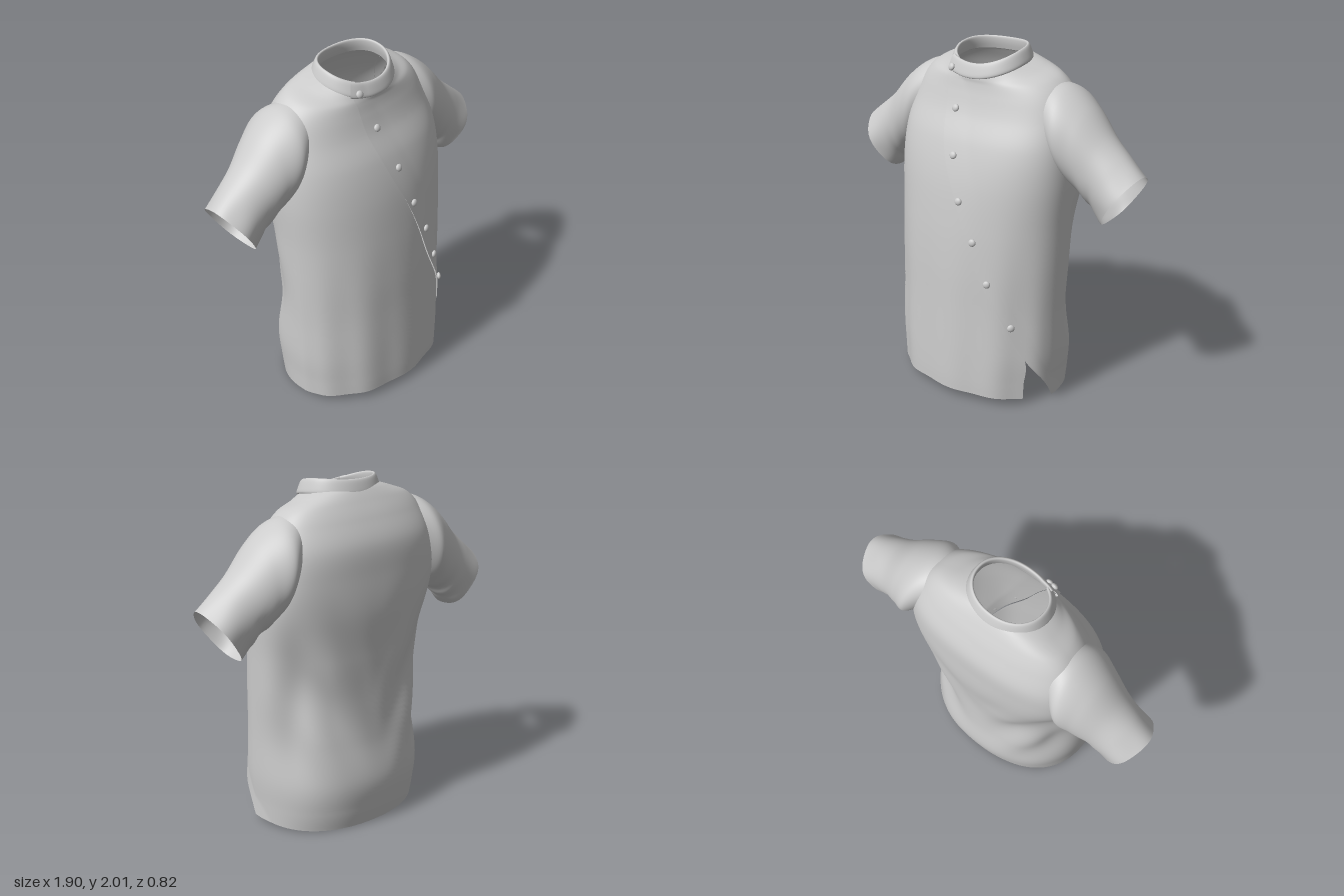
import * as THREE from 'three';

const material = new THREE.MeshStandardMaterial({ color: 0xcccccc, side: THREE.DoubleSide });
const spow = (v, e) => Math.sign(v) * Math.abs(v) ** e;
const bump = (v, mid, half) => Math.exp(-(((v - mid) / half) ** 2));

// Smooth (Catmull-Rom) interpolation through a list of rows, t in 0..1
function sampleRows(rows, t) {
  const last = rows.length - 1;
  const i = Math.min(Math.floor(t * last), last - 1);
  const f = t * last - i;
  const at = k => rows[Math.max(0, Math.min(last, k))];
  return rows[i].map((b, c) => {
    const a = at(i - 1)[c], d = at(i + 1)[c], e = at(i + 2)[c];
    return b + 0.5 * f * (d - a + f * (2 * a - 5 * b + 4 * d - e + f * (3 * (b - d) + e - a)));
  });
}

// Grid surface from point(v, u); closed joins the last column to the first, skip leaves holes
function gridMesh(name, nv, nu, point, { closed = false, skip = () => false } = {}) {
  const cols = closed ? nu : nu + 1;
  const pts = [], index = [];
  for (let i = 0; i <= nv; i++)
    for (let j = 0; j < cols; j++) pts.push(point(i / nv, j / nu));
  for (let i = 0; i < nv; i++)
    for (let j = 0; j < nu; j++) {
      const a = i * cols + j, b = i * cols + ((j + 1) % cols);
      if (skip(pts[a])) continue;
      index.push(a, b, a + cols, b, b + cols, a + cols);
    }
  const geometry = new THREE.BufferGeometry().setFromPoints(pts);
  geometry.setIndex(index);
  geometry.computeVertexNormals();
  const mesh = new THREE.Mesh(geometry, material);
  mesh.name = name;
  return mesh;
}

// Body rows, hem to neck:
// yFront, yBack, halfWidth, zFront, zBack, zWidest, left panel edge angle, right panel edge angle
const BODY = [
  [0.05, 0.0, 0.515, 0.405, -0.36, 0.07, 1.57, 1.01],
  [0.14, 0.11, 0.52, 0.405, -0.385, 0.07, 1.36, 1.01],
  [0.3, 0.28, 0.53, 0.4, -0.405, 0.07, 0.99, 1.0],
  [0.55, 0.53, 0.53, 0.39, -0.375, 0.06, 0.65, 0.66],
  [0.8, 0.8, 0.535, 0.38, -0.36, 0.04, 0.36, 0.37],
  [1.05, 1.05, 0.54, 0.36, -0.375, 0.01, 0.17, 0.18],
  [1.3, 1.3, 0.55, 0.325, -0.395, -0.02, 0, 0.01],
  [1.5, 1.5, 0.54, 0.27, -0.39, -0.05, -0.13, -0.12],
  [1.65, 1.67, 0.52, 0.2, -0.375, -0.08, -0.21, -0.2],
  [1.75, 1.8, 0.475, 0.165, -0.32, -0.09, -0.26, -0.25],
  [1.81, 1.885, 0.405, 0.15, -0.27, -0.09, -0.33, -0.32],
  [1.84, 1.935, 0.3, 0.148, -0.235, -0.07, -0.5, -0.49],
  [1.885, 1.96, 0.214, 0.14, -0.21, -0.037, -0.7, -0.69],
];

function bodyPoint(v, u) {
  const [yf, yb, w, zf, zb, zc, edgeL, edgeR] = sampleRows(BODY, v);
  const a = edgeL + u * (edgeR + 2 * Math.PI - edgeL);
  const s = Math.sin(a), c = Math.cos(a);
  const back = c < 0;
  const e = back
    ? 0.82 - 0.32 * bump(yb, 1.5, 0.28)
    : 1.15 - 0.24 * THREE.MathUtils.smoothstep(yf, 0.5, 1.3) - 0.15 * bump(yf, 1.5, 0.2);
  let x = w * spow(s, 0.91);
  let z = zc + (back ? zc - zb : zf - zc) * spow(c, e);
  const y = THREE.MathUtils.lerp(yb, yf, (z - zb) / (zf - zb));
  // Soft vertical folds in front, hanging folds and gathered flanks behind, raised overlapping edge
  let k = 0;
  if (!back) k += 0.018 * c * Math.sin(11 * a + 1) * (1 - THREE.MathUtils.smoothstep(y, 0.2, 1.3));
  else k += 0.045 * -c * Math.sin(10 * (y - 1.6 * Math.abs(x - 0.05)) + 1.2) * bump(y, 0.8, 0.4) * Math.min(1, 2.2 * Math.abs(s));
  k -= 0.1 * bump(a % (2 * Math.PI), 2.15, 0.28) * bump(y, 0.75, 0.35);
  k -= 0.07 * bump(a % (2 * Math.PI), 4.13, 0.28) * bump(y, 0.8, 0.35);
  k += 0.01 / Math.hypot(x, z - zc) * Math.max(0, 1 - u / 0.04);
  x *= 1 + k;
  z = zc + (z - zc) * (1 + k);
  return new THREE.Vector3(x, y, z);
}

// Sleeve rings, shoulder to cuff: top x, top y, bottom x, bottom y, z centre, z half depth
const SLEEVE = [
  [0.36, 1.845, 0.47, 1.4, -0.1, 0.17],
  [0.48, 1.82, 0.53, 1.33, -0.115, 0.225],
  [0.61, 1.73, 0.59, 1.265, -0.112, 0.2],
  [0.74, 1.59, 0.66, 1.21, -0.108, 0.17],
  [0.85, 1.495, 0.705, 1.16, -0.105, 0.16],
  [0.95, 1.41, 0.75, 1.11, -0.1, 0.16],
];

function sleevePoint(side, v, u) {
  const [tx, ty, bx, by, zc, hz] = sampleRows(SLEEVE, v);
  const a = side * u * 2 * Math.PI;
  const c = Math.cos(a), s = Math.sin(a);
  // Creases gathered under the arm and light puckers at the cuff
  const crease = 1 + 0.035 * Math.sin(22 * v + 2 * s) * bump(v, 0.6, 0.2) * Math.max(0, -c)
    + 0.025 * Math.sin(5 * a + 1) * bump(v, 0.95, 0.15);
  return new THREE.Vector3(
    side * ((tx + bx) / 2 + (tx - bx) / 2 * c * crease),
    (ty + by) / 2 + (ty - by) / 2 * c * crease,
    zc + hz * s * crease);
}

// Collar band section: outward offset, height
const COLLAR = [[-0.012, 0], [0.006, -0.008], [0.016, 0.002], [0.014, 0.03], [0.008, 0.062],
  [0, 0.073], [-0.01, 0.066], [-0.014, 0.035], [-0.012, 0]];

function collarPoint(v, u) {
  const [out, h] = sampleRows(COLLAR, v);
  const a = -0.76 + u * (2 * Math.PI + 0.14);
  const c = Math.cos(a), s = Math.sin(a);
  const r = out - 0.2 * h + 0.014 * Math.max(0, 1 - u / 0.06);
  return new THREE.Vector3(
    (0.22 + r) * spow(s, 0.93),
    1.915 - 0.038 * c - 0.03 * c * c + 0.008 * s + h,
    -0.037 + (0.185 + r) * spow(c, 0.93));
}

export function createModel() {
  const shirt = new THREE.Group();
  shirt.name = 'shirt';

  // Body with open armholes and a notch at the hem where the panels part
  const inArmhole = p => Math.abs(p.x) > 0.4 && ((p.y - 1.56) / 0.19) ** 2 + ((p.z + 0.11) / 0.17) ** 2 < 1;
  const body = gridMesh('body', 110, 150, bodyPoint, { skip: inArmhole });
  shirt.add(body);

  for (const side of [1, -1])
    shirt.add(gridMesh(side > 0 ? 'leftSleeve' : 'rightSleeve', 40, 64,
      (v, u) => sleevePoint(side, v, u), { closed: true }));

  shirt.add(gridMesh('collar', 24, 96, collarPoint));

  // Buttons along the slanted closing, seated on the body surface
  const buttons = new THREE.Group();
  buttons.name = 'buttons';
  const geometry = new THREE.SphereGeometry(0.021, 20, 14).scale(1, 1, 0.6);
  const position = body.geometry.attributes.position, normal = body.geometry.attributes.normal;
  const spots = [[-0.13, 1.87], [-0.06, 1.67], [0.005, 1.44], [0.08, 1.205], [0.18, 0.99], [0.27, 0.76], [0.39, 0.505]];
  const p = new THREE.Vector3(), n = new THREE.Vector3();
  spots.forEach(([x, y], k) => {
    let best = Infinity, seat = 0;
    for (let i = 0; i < position.count; i++) {
      p.fromBufferAttribute(position, i);
      const d = (p.x - x) ** 2 + (p.y - y) ** 2;
      if (p.z > 0 && d < best) { best = d; seat = i; }
    }
    p.fromBufferAttribute(position, seat);
    n.fromBufferAttribute(normal, seat);
    const button = new THREE.Mesh(geometry, material);
    button.name = 'button' + (k + 1);
    button.position.set(x, y, p.z).addScaledVector(n, k === 0 ? 0.025 : 0.012);
    button.quaternion.setFromUnitVectors(new THREE.Vector3(0, 0, 1), n);
    buttons.add(button);
  });
  shirt.add(buttons);
  return shirt;
}
